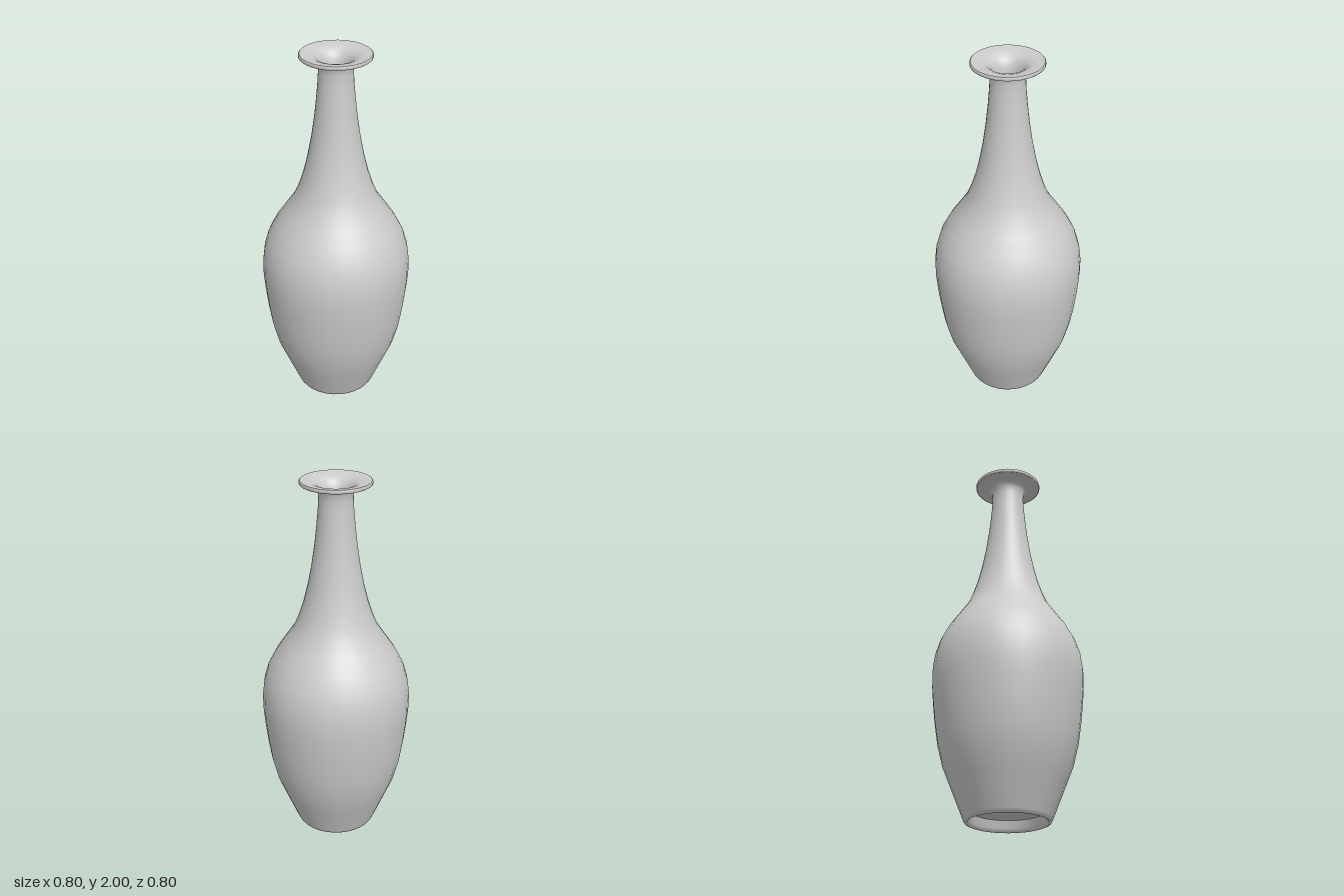
import * as THREE from 'three';

const SIDES = 32;

// Each profile is a list of [radius, height]; separate lathes keep the edges between them crisp.
const profiles = {
  // Recessed underside: flat ceiling and its short wall
  baseRecess: [[0, 0.06], [0.187, 0.06]],
  footRing: [[0.187, 0.06], [0.195, 0.02], [0.202, 0.004], [0.21, 0], [0.219, 0.004], [0.226, 0.018]],
  // Outer wall from foot to the underside of the lip
  body: [
    [0.226, 0.018], [0.255, 0.09], [0.295, 0.19], [0.335, 0.29], [0.365, 0.41], [0.383, 0.53],
    [0.395, 0.64], [0.402, 0.73], [0.402, 0.81], [0.392, 0.89], [0.368, 0.97], [0.326, 1.05],
    [0.272, 1.13], [0.225, 1.2], [0.196, 1.27], [0.17, 1.35], [0.148, 1.44], [0.127, 1.55],
    [0.111, 1.66], [0.1, 1.76], [0.092, 1.85], [0.089, 1.91], [0.092, 1.945], [0.103, 1.965],
    [0.125, 1.974], [0.18, 1.98],
  ],
  lipEdge: [[0.18, 1.98], [0.185, 1.984], [0.185, 1.996], [0.181, 2]],
  // Flared mouth leading into the hollow inside
  interior: [
    [0.181, 2], [0.135, 1.994], [0.105, 1.983], [0.083, 1.962], [0.07, 1.93], [0.065, 1.89],
    [0.068, 1.84], [0.085, 1.66], [0.122, 1.44], [0.17, 1.27], [0.2, 1.2], [0.3, 1.05],
    [0.367, 0.89], [0.377, 0.77], [0.358, 0.53], [0.31, 0.29], [0.23, 0.09],
  ],
  innerFloor: [[0.23, 0.09], [0, 0.09]],
};

export function createModel() {
  const vase = new THREE.Group();
  vase.name = 'vase';
  const material = new THREE.MeshStandardMaterial({ color: 0xcccccc });
  for (const [name, points] of Object.entries(profiles)) {
    const profile = points.map(([r, y]) => new THREE.Vector2(r, y));
    const mesh = new THREE.Mesh(new THREE.LatheGeometry(profile, SIDES), material);
    mesh.name = name;
    vase.add(mesh);
  }
  return vase;
}
